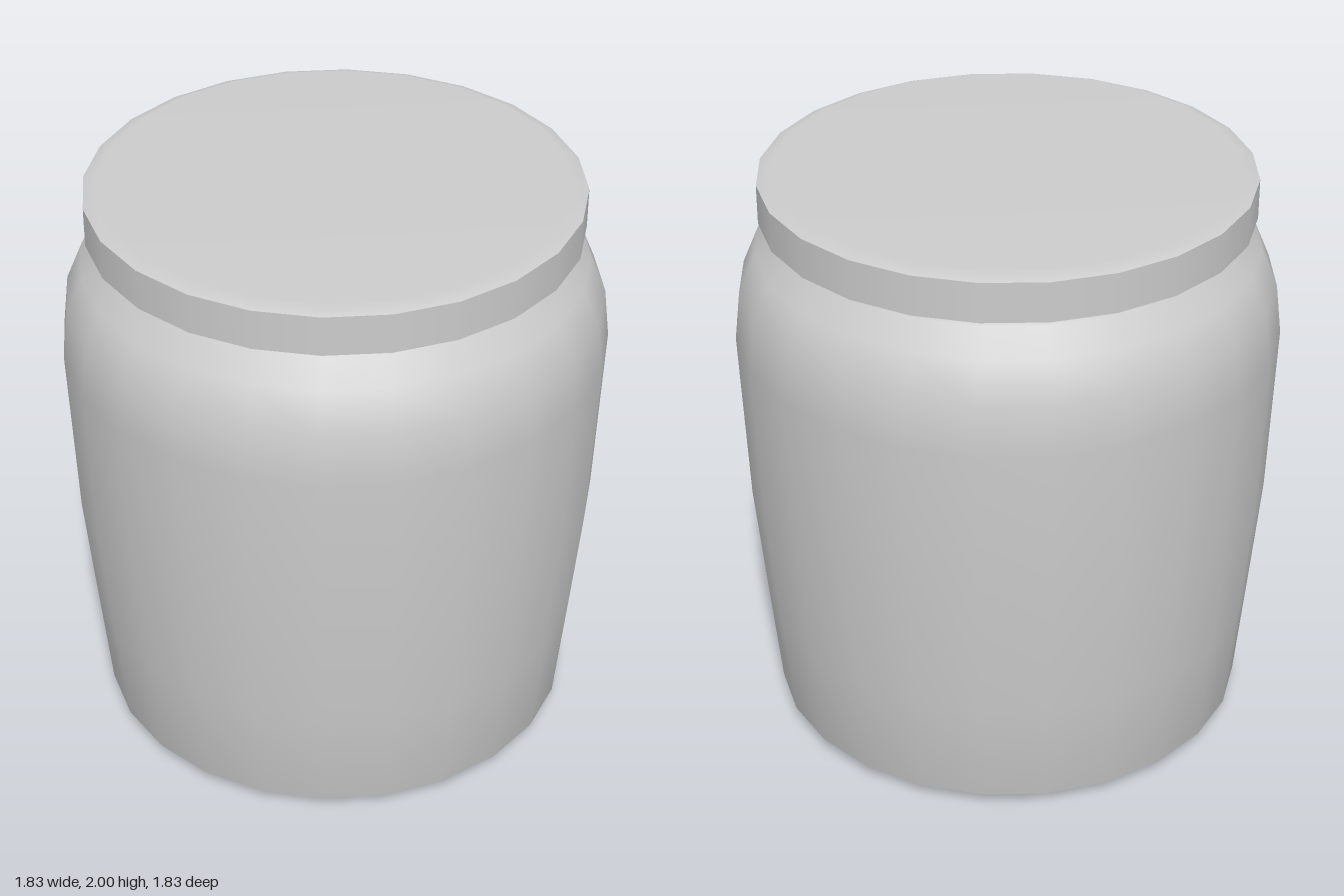
import * as THREE from 'three';

const SIDES = 24;

export function createModel() {
  const group = new THREE.Group();
  const material = new THREE.MeshStandardMaterial({ color: 0xcccccc });

  // Revolve a bottom-to-top [radius, height] profile around y
  function addTurned(name, profile) {
    const points = profile.map(([r, y]) => new THREE.Vector2(r, y));
    const mesh = new THREE.Mesh(new THREE.LatheGeometry(points, SIDES), material);
    mesh.name = name;
    group.add(mesh);
  }

  // Tapered jar with bevelled foot, rounded shoulder and short neck
  addTurned('jarBody', [
    [0, 0], [0.77, 0.005], [0.82, 0.045], [0.855, 0.42], [0.892, 0.83],
    [0.915, 1.43], [0.895, 1.6], [0.84, 1.73], [0.755, 1.8], [0.75, 1.84],
  ]);

  // Flat lid: underside, bevelled rim and top; doubled points keep edges crisp
  addTurned('lidUnderside', [[0, 1.83], [0.79, 1.83], [0.82, 1.845]]);
  addTurned('lidRim', [[0.82, 1.845], [0.82, 1.98]]);
  addTurned('lidTop', [[0.82, 1.98], [0.77, 2], [0, 2]]);

  return group;
}
